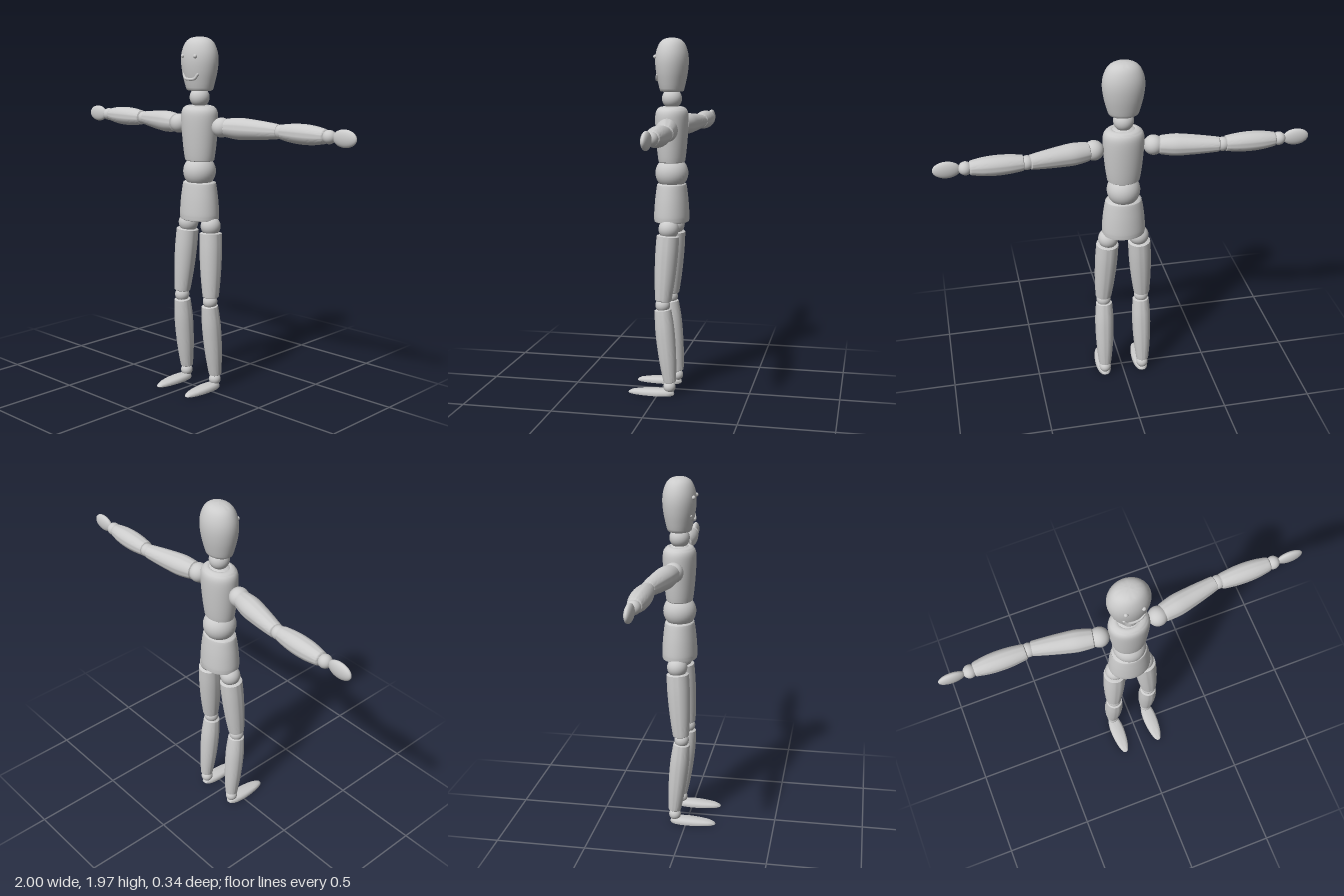
import * as THREE from 'three';
import { toCreasedNormals } from 'three/addons/utils/BufferGeometryUtils.js';

const material = new THREE.MeshStandardMaterial({ color: 0xcccccc });
const BODY_Z = -0.055;

function add(parent, name, geometry, x = 0, y = 0, z = 0) {
  const mesh = new THREE.Mesh(geometry, material);
  mesh.name = name;
  mesh.position.set(x, y, z);
  parent.add(mesh);
  return mesh;
}

const ball = (parent, name, r, x, y, z) =>
  add(parent, name, new THREE.SphereGeometry(r, 32, 20), x, y, z);

// Closed turned solid: flat ends, softened rims, smooth curve through [radius, height] points
function turned(points, bevel = 0.006) {
  const curve = new THREE.SplineCurve(points.map(p => new THREE.Vector2(...p)));
  const side = curve.getPoints(20);
  const a = side[0], b = side[side.length - 1];
  const profile = [new THREE.Vector2(0, a.y)];
  if (a.x > bevel) profile.push(new THREE.Vector2(a.x - bevel, a.y));
  side[0] = new THREE.Vector2(a.x, a.y + bevel * 0.7);
  if (b.x > bevel) {
    side[side.length - 1] = new THREE.Vector2(b.x, b.y - bevel * 0.7);
    side.push(new THREE.Vector2(b.x - bevel, b.y), new THREE.Vector2(0, b.y));
  }
  return toCreasedNormals(new THREE.LatheGeometry([...profile, ...side], 40), 0.7);
}

// Tapered limb running from one joint to the next, radii evenly spaced along it
function limb(parent, name, from, to, radii) {
  const a = new THREE.Vector3(...from), b = new THREE.Vector3(...to);
  const length = a.distanceTo(b);
  const points = radii.map((r, i) => [r, length * i / (radii.length - 1)]);
  const mesh = add(parent, name, turned(points), ...from);
  mesh.quaternion.setFromUnitVectors(new THREE.Vector3(0, 1, 0), b.sub(a).normalize());
}

// Flat-soled foot: a domed disc stretched into a long oval, lower and narrower at the toe
function footGeometry() {
  const profile = [[0, 0], [0.97, 0], [1, 0.15], [0.97, 0.5], [0.86, 0.8], [0.65, 0.95], [0, 1]]
    .map(p => new THREE.Vector2(...p));
  const geometry = new THREE.LatheGeometry(profile, 40);
  const p = geometry.attributes.position;
  for (let i = 0; i < p.count; i++) {
    const x = p.getX(i), y = p.getY(i), z = p.getZ(i);
    const width = 0.042 * (1 - 0.16 * z);
    p.setXYZ(i, Math.sign(x) * Math.abs(x) ** 0.8 * width, y * (0.03 - 0.007 * z), z * 0.131);
  }
  return toCreasedNormals(geometry, 0.7);
}

export function createModel() {
  const model = new THREE.Group();
  model.name = 'jointedMannequin';

  // Trunk and head, oval in plan
  const oval = (name, points, depth, bevel) =>
    add(model, name, turned(points, bevel), 0, 0, BODY_Z).scale.z = depth;
  oval('pelvis', [[0.117, 0.965], [0.12, 1.0], [0.114, 1.08], [0.104, 1.15], [0.098, 1.177]], 0.81, 0.008);
  ball(model, 'abdomen', 0.091, 0, 1.235, BODY_Z);
  oval('chest', [[0.088, 1.295], [0.098, 1.36], [0.107, 1.45], [0.111, 1.53], [0.106, 1.57], [0.088, 1.592], [0.06, 1.6]], 0.82);
  ball(model, 'neck', 0.055, 0, 1.642, BODY_Z);
  oval('head', [[0.079, 1.68], [0.096, 1.74], [0.107, 1.79], [0.112, 1.845], [0.105, 1.895], [0.083, 1.94],
    [0.048, 1.963], [0, 1.97]], 0.81);

  // Smile: an arc lying on the face, with a straighter upper lip
  const face = new THREE.Group();
  face.name = 'face';
  model.add(face);
  const lip = (name, pts) => {
    const curve = new THREE.CatmullRomCurve3(pts.map(([x, y]) =>
      new THREE.Vector3(x, y, BODY_Z + 0.082 * Math.sqrt(1 - (x / 0.101) ** 2))));
    add(face, name, new THREE.TubeGeometry(curve, 28, 0.008, 10));
    for (const end of [0, 1]) ball(face, 'mouthCorner', 0.008, ...curve.getPoint(end).toArray());
  };
  lip('mouth', [[-0.052, 1.77], [-0.035, 1.748], [0, 1.743], [0.035, 1.748], [0.052, 1.77]]);

  for (const s of [1, -1]) {
    const side = s > 0 ? 'left' : 'right';
    ball(face, side + 'Eye', 0.011, s * 0.046, 1.867, 0.028);

    // Arm
    const arm = new THREE.Group();
    arm.name = side + 'Arm';
    model.add(arm);
    const armY = 1.488;
    ball(arm, 'shoulder', 0.054, s * 0.16, armY, -0.06);
    limb(arm, 'upperArm', [s * 0.19, armY, -0.066], [s * 0.505, armY, -0.126], [0.05, 0.059, 0.055, 0.048, 0.039]);
    ball(arm, 'elbow', 0.038, s * 0.52, armY, -0.125);
    limb(arm, 'forearm', [s * 0.535, armY, -0.122], [s * 0.812, armY, -0.124], [0.041, 0.05, 0.053, 0.049, 0.037]);
    ball(arm, 'wrist', 0.036, s * 0.833, armY, -0.123);
    ball(arm, 'hand', 1, s * 0.928, armY, -0.122).scale.set(0.072, 0.046, 0.022);

    // Leg
    const leg = new THREE.Group();
    leg.name = side + 'Leg';
    model.add(leg);
    ball(leg, 'hip', 0.056, s * 0.086, 0.935, BODY_Z);
    limb(leg, 'thigh', [s * 0.112, 0.536, -0.03], [s * 0.09, 0.9, -0.052], [0.045, 0.054, 0.06, 0.063, 0.062]);
    ball(leg, 'knee', 0.041, s * 0.11, 0.513, -0.027);
    limb(leg, 'shin', [s * 0.113, 0.075, -0.068], [s * 0.108, 0.49, -0.027], [0.035, 0.046, 0.052, 0.053, 0.046]);
    ball(leg, 'ankle', 0.034, s * 0.112, 0.049, -0.066);
    add(leg, 'foot', footGeometry(), s * 0.112, 0, 0.038);
  }
  return model;
}
